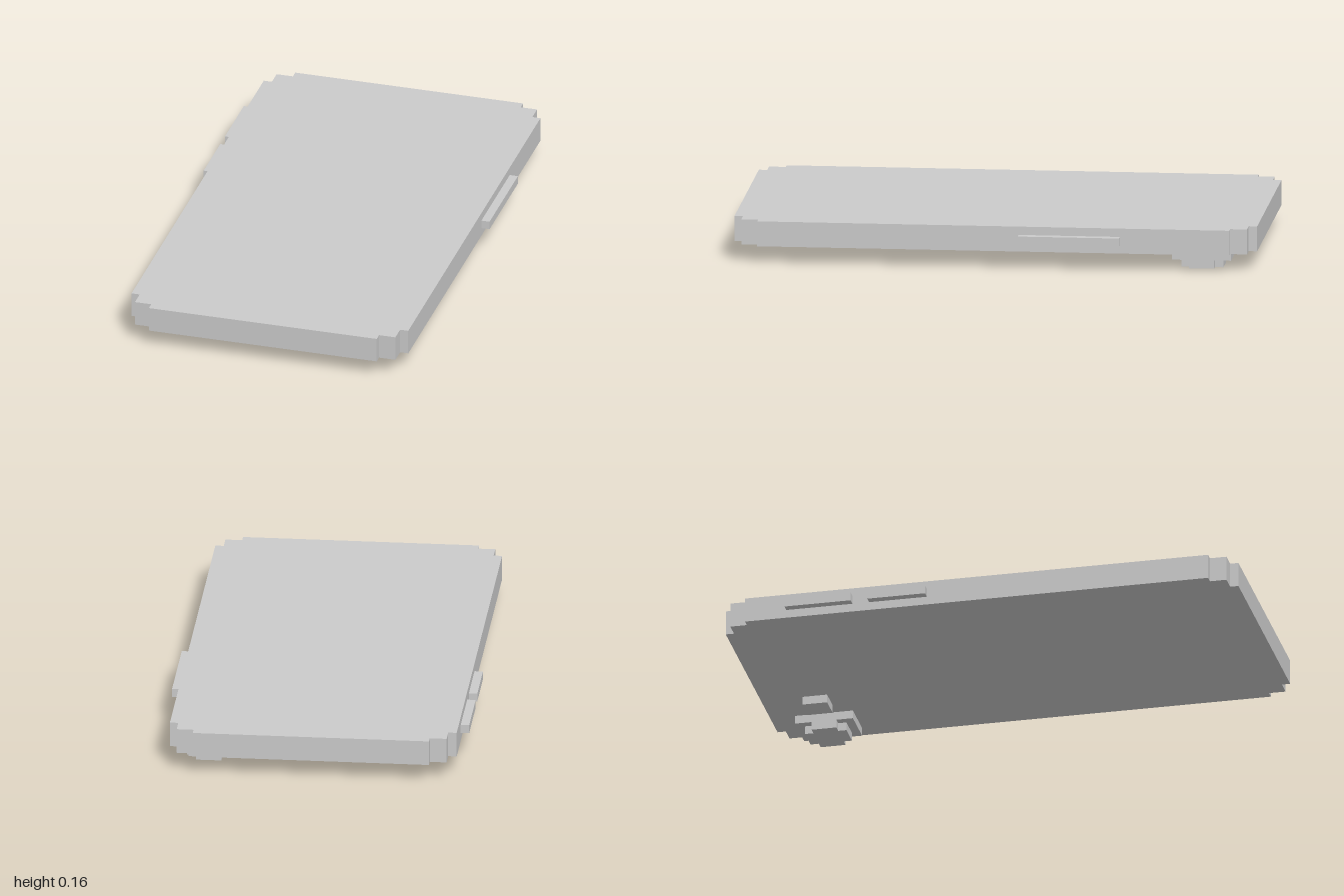
import * as THREE from 'three';

// Everything sits on a grid of 62 cells along the length
const U = 2 / 62;
const material = new THREE.MeshStandardMaterial({ color: 0xcccccc, flatShading: true });

function addMesh(group, name, geometry) {
  geometry.scale(U, U, U);
  const mesh = new THREE.Mesh(geometry, material);
  mesh.name = name;
  group.add(mesh);
}

// Box from its two opposite corners, in grid cells
function addBlock(group, name, [x0, y0, z0], [x1, y1, z1]) {
  const geometry = new THREE.BoxGeometry(x1 - x0, y1 - y0, z1 - z0);
  geometry.translate((x0 + x1) / 2, (y0 + y1) / 2, (z0 + z1) / 2);
  addMesh(group, name, geometry);
}

// Slab with stepped corners: corner lists one quadrant's points from the +x side to the +z side
function addSteppedSlab(group, name, corner, y0, y1, cx = 0, cz = 0) {
  const reversed = [...corner].reverse();
  const outline = [
    ...corner.map(([x, z]) => [x, z]),
    ...reversed.map(([x, z]) => [-x, z]),
    ...corner.map(([x, z]) => [-x, -z]),
    ...reversed.map(([x, z]) => [x, -z]),
  ];
  const shape = new THREE.Shape(outline.map(([x, z]) => new THREE.Vector2(x, z)));
  const geometry = new THREE.ExtrudeGeometry(shape, { depth: y1 - y0, bevelEnabled: false });
  geometry.rotateX(-Math.PI / 2);
  geometry.translate(cx, y0, cz);
  addMesh(group, name, geometry);
}

export function createModel() {
  const phone = new THREE.Group();
  phone.name = 'phone';

  // Body with two-step corners
  addSteppedSlab(phone, 'body', [[17, 28], [16, 28], [16, 30], [14, 30], [14, 31]], 2, 5);

  // Side buttons
  addBlock(phone, 'powerButton', [17, 3, -15], [18, 4, -3]);
  addBlock(phone, 'volumeUpButton', [-18, 3, -23], [-17, 4, -15]);
  addBlock(phone, 'volumeDownButton', [-18, 3, -13], [-17, 4, -6]);

  // Camera on the underside
  addBlock(phone, 'cameraBase', [10, 1, -28], [15, 2, -21]);
  addSteppedSlab(phone, 'cameraLens', [[2.5, 1.5], [1.5, 1.5], [1.5, 2.5]], 0, 1, 12.5, -24.5);
  addBlock(phone, 'flash', [5, 1, -26], [8, 2, -23]);

  return phone;
}
